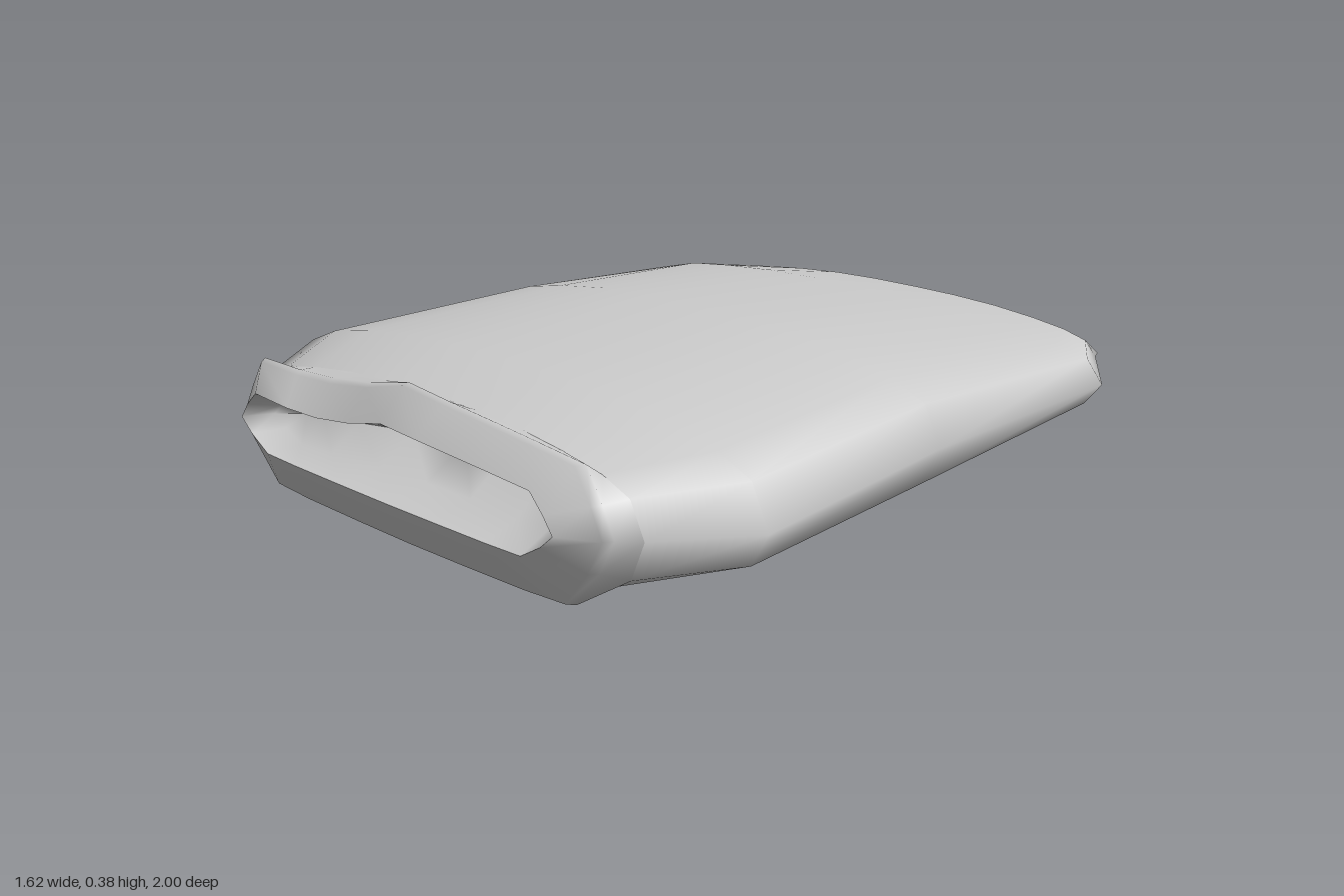
import * as THREE from 'three';
import { mergeVertices } from 'three/addons/utils/BufferGeometryUtils.js';

// Right half of a unit cross-section, from bottom centre round to top centre
const ROUND = [[0, -1], [.3, -1], [.62, -.96], [.82, -.86], [.94, -.6], [1, 0],
  [.94, .5], [.82, .7], [.65, .83], [.44, .94], [.22, .99], [0, 1]];
const FACETED = [[0, -1], [.3, -.99], [.62, -.97], [.82, -.93], [.93, -.45], [1, 0],
  [.95, .35], [.88, .74], [.65, .81], [.44, .87], [.22, .93], [0, 1]];

// One closed ring; bend pushes z with x, sag lowers the upper edge on the right side
function ring({ z, w, mid, low, high, profile = ROUND, sag = 0, bend = () => 0 }) {
  const mirrored = profile.slice(1, -1).reverse().map(([u, v]) => [-u, v]);
  return [...profile, ...mirrored].map(([u, v]) => {
    if (u < 0 && v > 0) v *= 1 - sag * Math.sin(Math.PI * -u);
    const y = mid + (v > 0 ? v * (high - mid) : v * (mid - low));
    return [u * w, y, z + bend(u)];
  });
}

function loft(name, sections, material) {
  const rings = sections.map(ring);
  const n = rings[0].length;
  const index = [];
  for (let i = 0; i < rings.length - 1; i++) {
    for (let j = 0; j < n; j++) {
      const a = i * n + j, b = i * n + (j + 1) % n;
      index.push(a, b, a + n, b, b + n, a + n);
    }
  }
  let geometry = new THREE.BufferGeometry();
  geometry.setAttribute('position', new THREE.Float32BufferAttribute(rings.flat(2), 3));
  geometry.setIndex(index);
  geometry = mergeVertices(geometry, 1e-4);
  geometry.computeVertexNormals();
  const mesh = new THREE.Mesh(geometry, material);
  mesh.name = name;
  return mesh;
}

export function createModel() {
  const group = new THREE.Group();
  group.name = 'pouch';
  const material = new THREE.MeshStandardMaterial({ color: 0xcccccc, side: THREE.DoubleSide });
  const curve = u => .05 * Math.abs(u) ** 2.4;

  const neck = { z: .86, w: .67, mid: .18, low: .02, high: .345 };
  const rim = { z: 1, w: .55, mid: .2, low: .125, high: .31, profile: FACETED, sag: .3 };

  // Flattened bag, tapering to a curved seam at the back
  group.add(loft('body', [
    { z: -1, w: .61, mid: .18, low: .18, high: .18, bend: curve },
    { z: -.985, w: .63, mid: .18, low: .14, high: .225, bend: curve },
    { z: -.95, w: .645, mid: .18, low: .11, high: .255, bend: curve },
    { z: -.69, w: .79, mid: .18, low: .08, high: .3 },
    { z: 0, w: .775, mid: .18, low: .02, high: .38 },
    { z: .64, w: .81, mid: .17, low: .03, high: .38 },
    neck,
  ], material));

  // Flared lip round the opening
  group.add(loft('collar', [
    neck,
    { z: .915, w: .64, mid: .19, low: .003, high: .385, profile: FACETED, sag: .15 },
    { z: .935, w: .625, mid: .19, low: .008, high: .382, profile: FACETED, sag: .18 },
    rim,
  ], material));

  // Hollow mouth, pinched shallower on one side
  const pinch = u => .1 * Math.max(0, -u);
  group.add(loft('mouthLining', [
    rim,
    { z: .88, w: .5, mid: .205, low: .14, high: .28, profile: FACETED, sag: .3, bend: u => pinch(u) * .6 },
    { z: .76, w: .46, mid: .21, low: .21, high: .21, profile: FACETED, bend: u => pinch(u) * 1.5 },
  ], material));

  return group;
}
